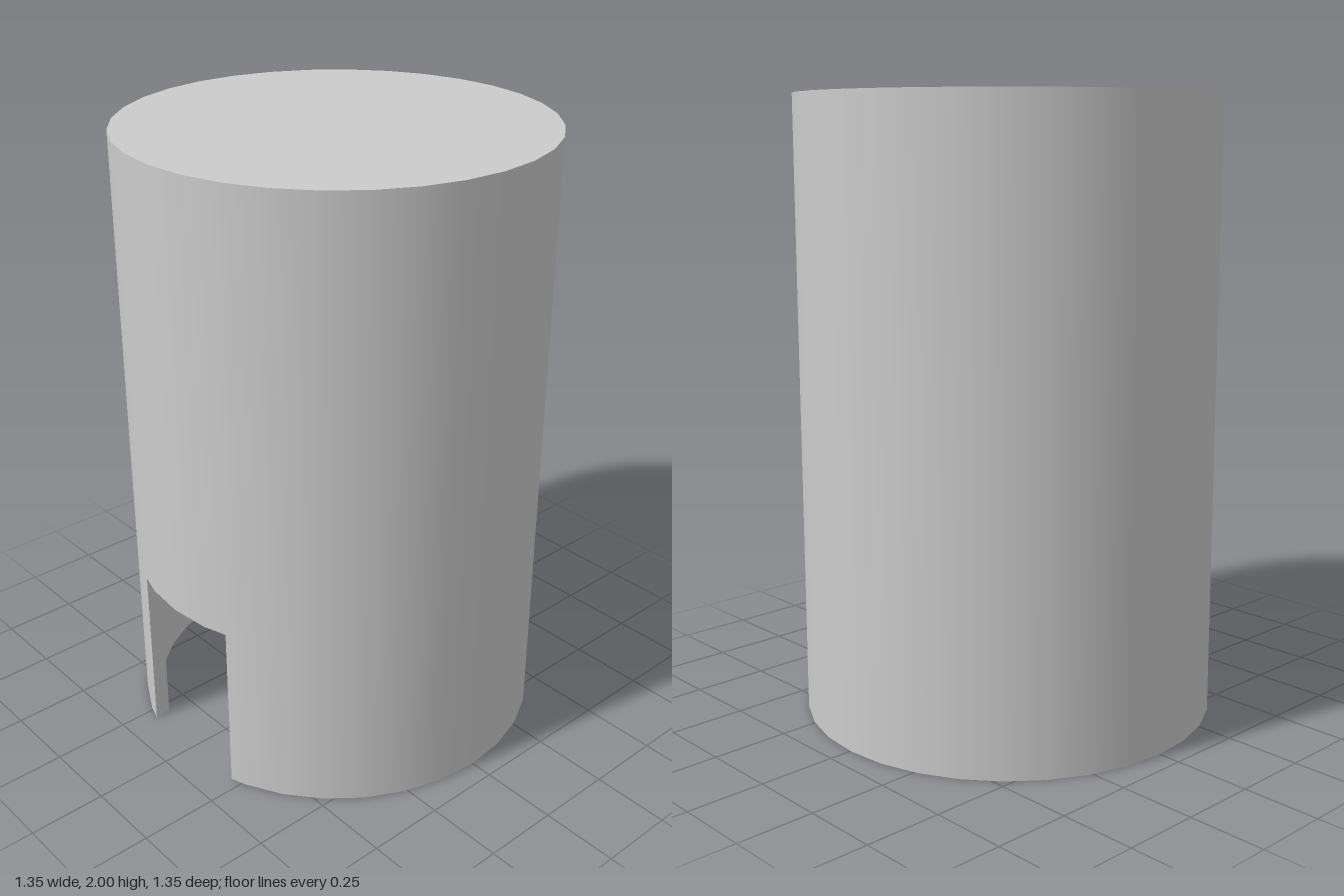
import * as THREE from 'three';

const SIDES = 32, R_OUT = 0.675, R_IN = 0.625;
const HEIGHT = 2, CEILING = 1.95;
const DOOR_HALF = 0.21, DOOR_TOP = 0.565;

// Ring of [x, z] points from the front (+z) towards +x, with the doorway edges added on the facets
function ring(r) {
  const at = (i) => {
    const a = (i / SIDES) * Math.PI * 2;
    return [r * Math.sin(a), r * Math.cos(a)];
  };
  const [a, b] = [at(1), at(2)];
  const t = (DOOR_HALF - a[0]) / (b[0] - a[0]);
  const doorZ = a[1] + (b[1] - a[1]) * t;
  const points = [];
  for (let i = 0; i <= SIDES; i++) {
    if (i === SIDES - 1) points.push([-DOOR_HALF, doorZ]);
    points.push(at(i));
    if (i === 1) points.push([DOOR_HALF, doorZ]);
  }
  return points;
}

// Tube wall with a doorway cut from its lower front edge
function wallGeometry() {
  const positions = [], normals = [];
  const quad = (corners, normalOf) => {
    for (const k of [0, 1, 2, 0, 2, 3]) {
      positions.push(...corners[k]);
      normals.push(...normalOf(corners[k]));
    }
  };
  const radial = (sign) => ([x, , z]) => {
    const l = sign * Math.hypot(x, z);
    return [x / l, 0, z / l];
  };
  const outer = ring(R_OUT), inner = ring(R_IN);
  const p = ([x, z], y) => [x, y, z];
  const last = outer.length - 1;

  for (let i = 0; i < last; i++) {
    const y = i < 2 || i >= last - 2 ? DOOR_TOP : 0;
    const [o, o2, n, n2] = [outer[i], outer[i + 1], inner[i], inner[i + 1]];
    quad([p(o, y), p(o2, y), p(o2, HEIGHT), p(o, HEIGHT)], radial(1));
    quad([p(n2, y), p(n, y), p(n, CEILING), p(n2, CEILING)], radial(-1));
    quad([p(o, y), p(n, y), p(n2, y), p(o2, y)], () => [0, -1, 0]);
  }

  // Doorway jambs
  const [ro, ri, lo, li] = [outer[2], inner[2], outer[last - 2], inner[last - 2]];
  quad([p(ri, 0), p(ro, 0), p(ro, DOOR_TOP), p(ri, DOOR_TOP)], () => [-1, 0, 0]);
  quad([p(lo, 0), p(li, 0), p(li, DOOR_TOP), p(lo, DOOR_TOP)], () => [1, 0, 0]);

  const geometry = new THREE.BufferGeometry();
  geometry.setAttribute('position', new THREE.Float32BufferAttribute(positions, 3));
  geometry.setAttribute('normal', new THREE.Float32BufferAttribute(normals, 3));
  return geometry;
}

export function createModel() {
  const group = new THREE.Group();
  const material = new THREE.MeshStandardMaterial({ color: 0xcccccc, side: THREE.DoubleSide });
  const add = (name, geometry) => {
    const mesh = new THREE.Mesh(geometry, material);
    mesh.name = name;
    group.add(mesh);
  };

  add('wall', wallGeometry());
  // Closed top: roof outside, ceiling inside
  add('roof', new THREE.CircleGeometry(R_OUT, SIDES).rotateX(-Math.PI / 2).translate(0, HEIGHT, 0));
  add('ceiling', new THREE.CircleGeometry(R_IN, SIDES).rotateX(Math.PI / 2).translate(0, CEILING, 0));
  return group;
}
